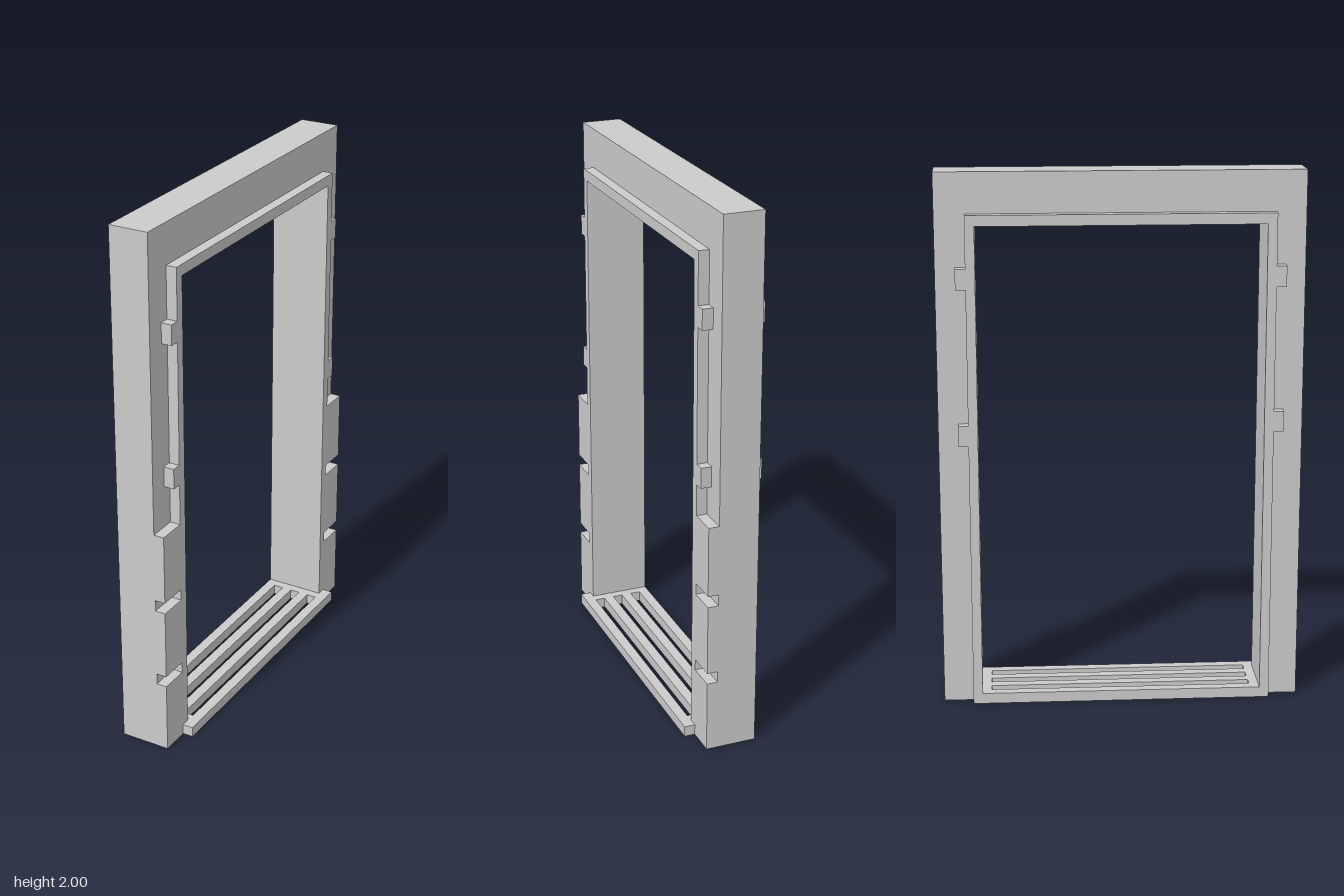
import * as THREE from 'three';

const IN = 0.525, LIP = 0.56, OUT = 0.67, TAB = 0.597, HEAD = 1.81, LIP_TOP = 1.85;
const material = new THREE.MeshStandardMaterial({ color: 0xcccccc, flatShading: true });

function mesh(name, geometry) {
  const m = new THREE.Mesh(geometry, material);
  m.name = name;
  return m;
}

const toShape = (pts) => new THREE.Shape(pts.map(([a, b]) => new THREE.Vector2(a, b)));

// Extrudes a (z, y) outline between two x positions
function slab(name, pts, x0, x1) {
  const g = new THREE.ExtrudeGeometry(toShape(pts), { depth: x1 - x0, bevelEnabled: false });
  g.rotateY(-Math.PI / 2);
  g.translate(x1, 0, 0);
  return mesh(name, g);
}

// Closes an arch from its outer edges (each listed from the floor up)
function arch(left, right) {
  return [
    ...right, ...left.map(([z, y]) => [-z, y]).reverse(),
    [-IN, 0], [-IN, HEAD], [IN, HEAD], [IN, 0],
  ];
}

// Lip edge above its foot, stepping out at the two clips
function clipEdge(lowClip) {
  const pts = [];
  for (const [y0, y1] of [[lowClip, lowClip + 0.077], [1.582, 1.658]]) {
    pts.push([LIP, y0], [TAB, y0], [TAB, y1], [LIP, y1]);
  }
  return [...pts, [LIP, LIP_TOP]];
}

// Wide notched foot of the front layer
function notchedFoot() {
  const pts = [[OUT, 0]];
  for (const [y0, y1] of [[0.27, 0.312], [0.577, 0.62]]) {
    pts.push([OUT, y0], [LIP, y0], [LIP, y1], [OUT, y1]);
  }
  return [...pts, [OUT, 0.885], [LIP, 0.885]];
}

export function createModel() {
  const group = new THREE.Group();
  group.name = 'doorFrame';

  // Main surround
  const side = [[OUT, 0], [OUT, 2]];
  group.add(slab('surround', arch(side, side), -0.095, 0.055));

  // Raised lips; the lower clips sit at different heights on each side
  const nearClips = clipEdge(1.042), farClips = clipEdge(1.004);
  group.add(slab('frontLip',
    arch([...notchedFoot(), ...farClips], [...notchedFoot(), ...nearClips]), 0.055, 0.095));
  group.add(slab('backLip',
    arch([[LIP, 0], ...farClips], [[LIP, 0], ...nearClips]), -0.135, -0.095));

  // Slotted sill, wider where it stands proud of the front
  const sill = toShape([
    [-0.135, -IN], [0.095, -IN], [0.095, -LIP], [0.135, -LIP],
    [0.135, LIP], [0.095, LIP], [0.095, IN], [-0.135, IN],
  ]);
  for (const x of [-0.077, 0, 0.077]) {
    const a = x - 0.019, b = x + 0.019, e = 0.49;
    sill.holes.push(new THREE.Path([[a, -e], [a, e], [b, e], [b, -e]]
      .map(([u, v]) => new THREE.Vector2(u, v))));
  }
  const g = new THREE.ExtrudeGeometry(sill, { depth: 0.04, bevelEnabled: false });
  g.rotateX(-Math.PI / 2);
  group.add(mesh('sill', g));

  return group;
}
